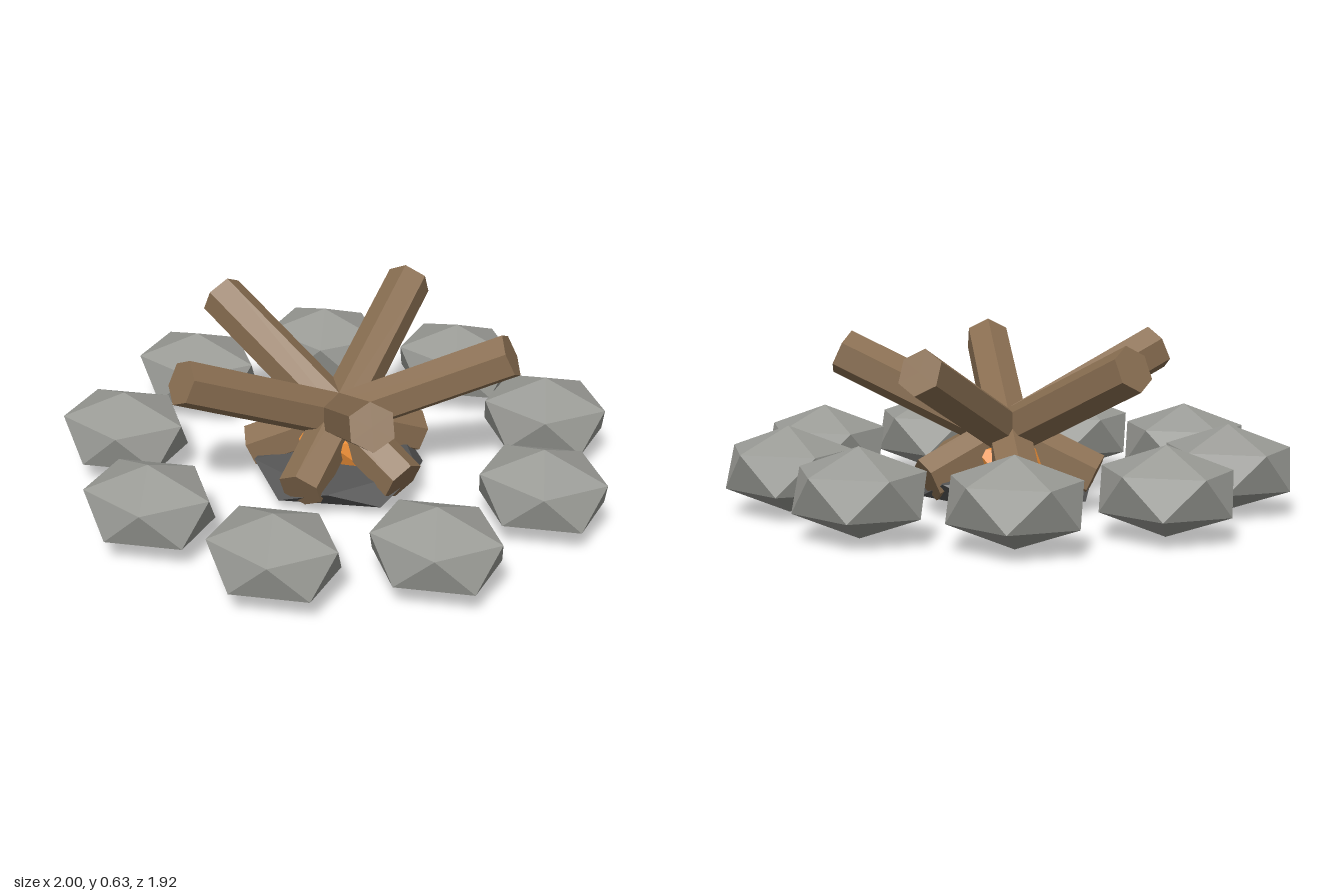
import * as THREE from 'three';

const CENTRE_X = -0.025;
const material = (color) => new THREE.MeshStandardMaterial({ color, flatShading: true });

// Squashed icosahedron standing on a vertex, one upper corner towards +x
function rockGeometry(rx, ry, rz) {
  return new THREE.IcosahedronGeometry(1, 0)
    .rotateZ(-Math.atan(2 / (1 + Math.sqrt(5))))
    .scale(rx, ry, rz);
}

function addMesh(parent, name, geometry, mat, x = 0, y = 0, z = 0) {
  const mesh = new THREE.Mesh(geometry, mat);
  mesh.name = name;
  mesh.position.set(x, y, z);
  parent.add(mesh);
  return mesh;
}

export function createModel() {
  const model = new THREE.Group();
  model.name = 'campfire';
  const fire = new THREE.Group();
  fire.name = 'fire';
  fire.position.x = CENTRE_X;
  model.add(fire);

  // Ring of stones, all facing the same way
  const stoneCount = 9;
  const ringRadius = 0.786;
  const stoneGeometry = rockGeometry(0.263, 0.154, 0.221);
  const stoneMaterial = material(0x999a95);
  for (let i = 0; i < stoneCount; i++) {
    const a = (i / stoneCount) * Math.PI * 2;
    addMesh(fire, `stone${i + 1}`, stoneGeometry, stoneMaterial,
      Math.cos(a) * ringRadius, 0.163, Math.sin(a) * ringRadius);
  }

  // Leaning hexagonal logs that cross over the centre
  const logCount = 5;
  const tilt = THREE.MathUtils.degToRad(25);
  const logGeometry = new THREE.CylinderGeometry(0.084, 0.084, 1.02, 6)
    .rotateX(tilt - Math.PI / 2)
    .translate(0, 0.334, -0.1475);
  const logMaterial = material(0x8a6f52);
  for (let i = 0; i < logCount; i++) {
    const log = addMesh(fire, `log${i + 1}`, logGeometry, logMaterial);
    log.rotation.y = (i / logCount) * Math.PI * 2;
  }

  // Ash bed and glowing ember under the logs
  addMesh(fire, 'ashBed', rockGeometry(0.35, 0.08, 0.35), material(0x555555), 0, 0.08, 0);
  addMesh(fire, 'ember', rockGeometry(0.18, 0.1, 0.18), material(0xee9038), 0, 0.18, 0);

  return model;
}
